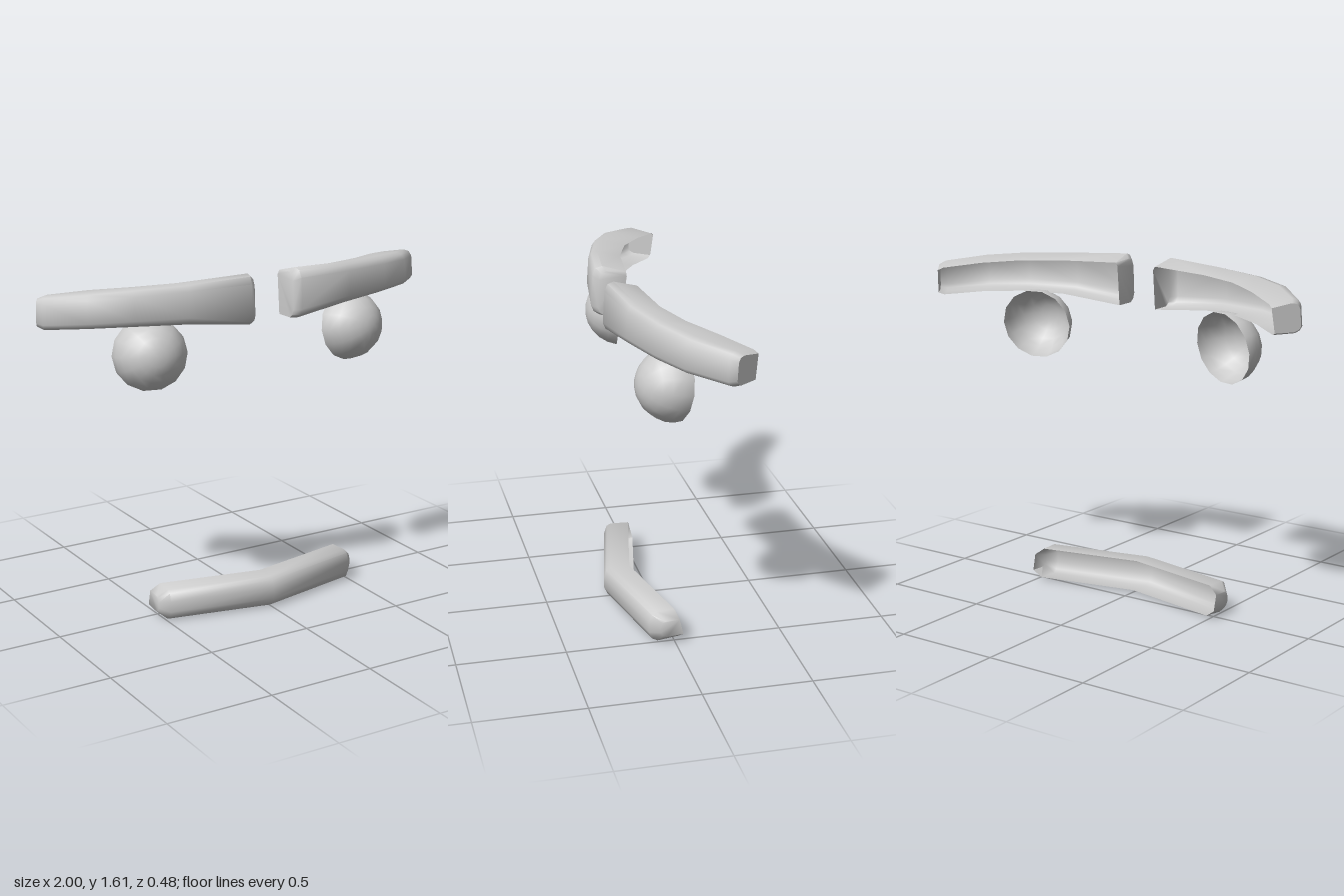
import * as THREE from 'three';
import { toCreasedNormals } from 'three/addons/utils/BufferGeometryUtils.js';

const material = new THREE.MeshStandardMaterial({ color: 0xcccccc, side: THREE.DoubleSide });

// Open-backed bar: a profile of [depth 0..1, height 0..1] swept through stations
// [frontX, frontZ, backX, backZ, bottomY, topY]; both ends are capped.
function shell(name, profile, stations, side = 1) {
  const n = profile.length, pos = [], index = [];
  for (const [fx, fz, bx, bz, y0, y1] of stations) {
    for (const [t, h] of profile) {
      pos.push(side * (bx + (fx - bx) * t), y0 + (y1 - y0) * h, bz + (fz - bz) * t);
    }
  }
  const tri = (a, b, c) => (side > 0 ? index.push(a, b, c) : index.push(a, c, b));
  for (let i = 0; i < stations.length - 1; i++) {
    for (let j = 0; j < n - 1; j++) {
      const a = i * n + j, b = a + n;
      tri(a, a + 1, b);
      tri(a + 1, b + 1, b);
    }
  }
  const last = (stations.length - 1) * n;
  for (let j = 1; j < n - 1; j++) {
    tri(0, j + 1, j);
    tri(last, last + j, last + j + 1);
  }
  const geo = new THREE.BufferGeometry();
  geo.setAttribute('position', new THREE.Float32BufferAttribute(pos, 3));
  geo.setIndex(index);
  const mesh = new THREE.Mesh(toCreasedNormals(geo, 0.95), material);
  mesh.name = name;
  return mesh;
}

// From the back top edge, round the front, to the back bottom edge
const browProfile = [[0, 0.87], [0.68, 1], [0.86, 0.96], [0.95, 0.82], [1, 0.2], [0.93, 0.08], [0.78, 0.01], [0.12, 0]];
const browStations = [
  [0.10, 0.215, 0.10, 0.08, 1.375, 1.585],
  [0.13, 0.24, 0.11, 0.08, 1.375, 1.605],
  [0.42, 0.20, 0.40, 0.045, 1.405, 1.59],
  [0.66, 0.135, 0.59, -0.02, 1.41, 1.58],
  [0.84, 0.05, 0.75, -0.12, 1.405, 1.565],
  [0.985, -0.095, 0.90, -0.225, 1.39, 1.54],
  [1.00, -0.13, 0.92, -0.24, 1.40, 1.525],
];

const mouthProfile = [[0.17, 1], [0.78, 1], [0.92, 0.92], [1, 0.66], [1, 0.32], [0.9, 0.1], [0.72, 0], [0, 0.06]];
const mouthHalf = [
  [0, 0.22, 0, 0.07, 0, 0.148],
  [0.49, 0.115, 0.48, -0.03, 0, 0.148],
  [0.53, 0.07, 0.525, -0.038, 0.035, 0.115],
];

export function createModel() {
  const group = new THREE.Group();

  for (const side of [1, -1]) {
    const word = side > 0 ? 'left' : 'right';
    group.add(shell(word + 'Brow', browProfile, browStations, side));

    // Hollow half-dome eye, tilted outward and a little upward
    const dome = new THREE.SphereGeometry(0.17, 14, 6, 0, Math.PI * 2, 0, Math.PI / 2);
    dome.rotateX(Math.PI / 2);
    dome.scale(1, 0.98, 1.04);
    const eye = new THREE.Mesh(dome, material);
    eye.name = word + 'Eye';
    eye.rotation.set(-0.15, side * 0.26, 0, 'YXZ');
    eye.position.set(side * 0.525, 1.255, 0.01);
    group.add(eye);
  }

  // Mouth bar, bent at the middle
  const mirrored = mouthHalf.slice(1).reverse().map(([fx, fz, bx, ...rest]) => [-fx, fz, -bx, ...rest]);
  group.add(shell('mouth', mouthProfile, [...mirrored, ...mouthHalf]));

  return group;
}
